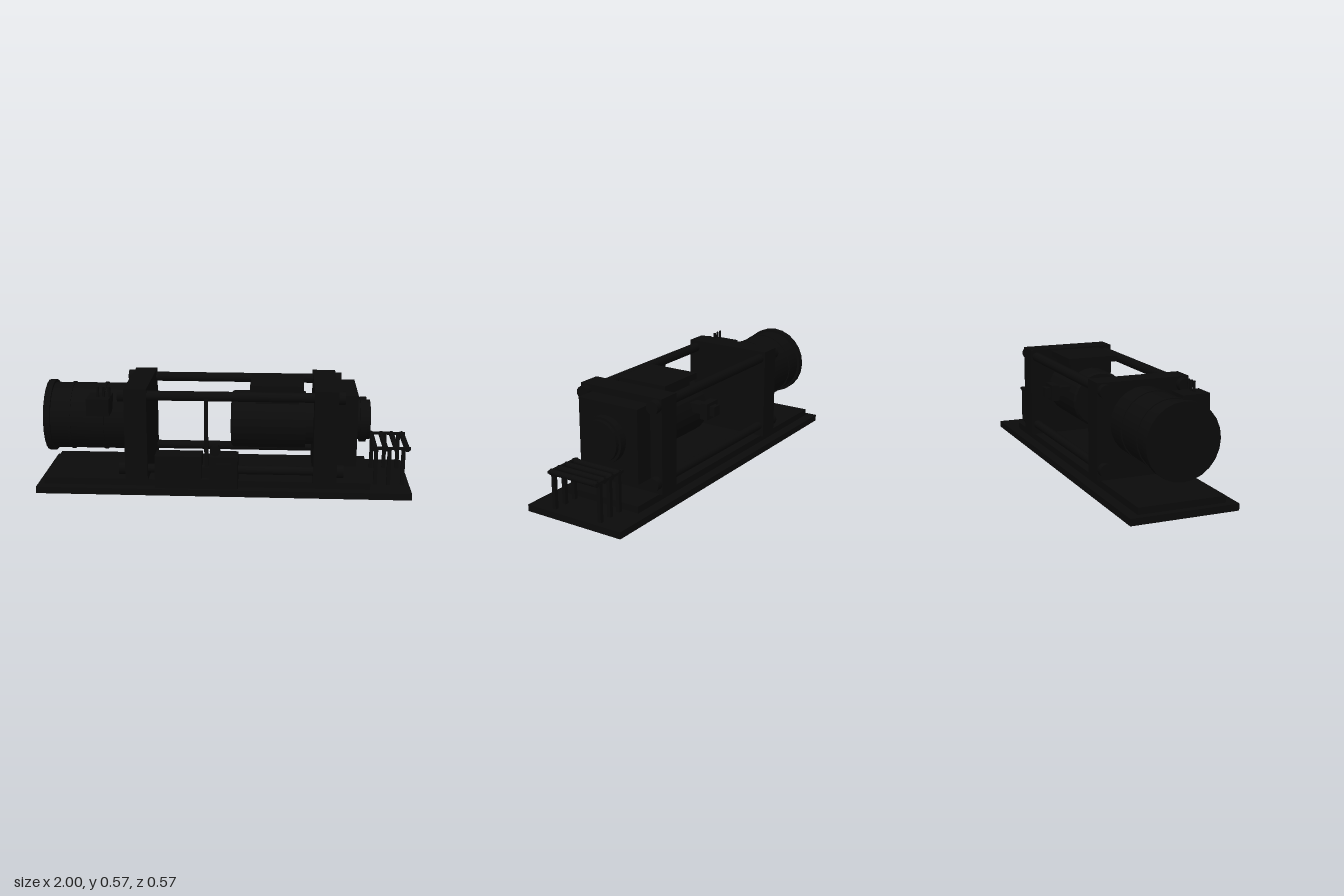
import * as THREE from 'three';

export function createModel() {
  const model = new THREE.Group();
  model.name = 'horizontalPress';
  const black = new THREE.MeshStandardMaterial({ color: 0x0b0b0b });
  black.name = 'black paint';

  const add = (name, geometry) => {
    const mesh = new THREE.Mesh(geometry, black);
    mesh.name = name;
    model.add(mesh);
    return mesh;
  };
  // box given by its min and max on each axis
  const box = (name, x0, x1, y0, y1, z0, z1) =>
    add(name, new THREE.BoxGeometry(x1 - x0, y1 - y0, z1 - z0))
      .position.set((x0 + x1) / 2, (y0 + y1) / 2, (z0 + z1) / 2);
  // cylinder along an axis, from a to b, centred on the two other coordinates
  const rodX = (name, a, b, y, z, r, sides = 16) => {
    const g = new THREE.CylinderGeometry(r, r, b - a, sides).rotateZ(-Math.PI / 2);
    add(name, g).position.set((a + b) / 2, y, z);
  };
  const rodZ = (name, a, b, x, y, r, sides = 12) => {
    const g = new THREE.CylinderGeometry(r, r, b - a, sides).rotateX(Math.PI / 2);
    add(name, g).position.set(x, y, (a + b) / 2);
  };
  const rodY = (name, a, b, x, z, r, sides = 10) =>
    add(name, new THREE.CylinderGeometry(r, r, b - a, sides)).position.set(x, (a + b) / 2, z);

  // floor plate and bed
  box('floorPlate', -1, 1, 0, 0.036, -0.286, 0.286);
  box('bed', -0.965, 0.785, 0.036, 0.072, -0.232, 0.232);

  // end platens
  box('rearPlaten', -0.52, -0.4, 0.07, 0.573, -0.25, 0.25);
  box('frontPlaten', 0.48, 0.605, 0.07, 0.573, -0.25, 0.25);

  // tie rods with nuts at both ends
  for (const z of [-0.215, 0.215]) {
    for (const [y, r] of [[0.13, 0.024], [0.532, 0.026]]) {
      rodX('tieRod', -0.54, 0.62, y, z, r);
      rodX('rearNut', -0.555, -0.51, y, z, 0.035);
      rodX('frontNut', 0.6, 0.64, y, z, 0.035);
    }
  }

  // main cylinder with end flange and bands
  const cy = 0.36;
  rodX('mainCylinder', -0.95, -0.5, cy, 0, 0.18, 24);
  rodX('cylinderFlange', -0.965, -0.93, cy, 0, 0.195, 24);
  for (const x of [-0.83, -0.65]) rodX('cylinderBand', x - 0.008, x + 0.008, cy, 0, 0.185, 24);

  // valve box on the main cylinder with three pipes
  box('valveBox', -0.715, -0.595, 0.43, 0.52, 0.12, 0.27);
  for (const x of [-0.66, -0.63, -0.6]) rodY('valvePipe', 0.5, 0.575, x, 0.21, 0.007);

  // container with an open mouth
  const profile = [[0, 0.05], [0.125, 0.05], [0.125, 0], [0.145, 0], [0.155, 0.012], [0.155, 0.4],
    [0.135, 0.4], [0.135, 0.45], [0, 0.45]].map(([r, h]) => new THREE.Vector2(r, h));
  const shell = new THREE.LatheGeometry(profile.reverse(), 24).toNonIndexed();
  shell.computeVertexNormals();
  // axis turned to +x
  shell.rotateZ(-Math.PI / 2);
  const container = add('container', shell);
  container.position.set(0.038, 0.353, 0);
  black.side = THREE.DoubleSide;
  box('containerSaddle', 0.17, 0.4, 0.47, 0.545, -0.12, 0.12);
  box('containerCover', 0.14, 0.425, 0.54, 0.573, -0.145, 0.145);

  // drive unit on the back of the container
  box('driveArm', 0.13, 0.19, 0.37, 0.42, -0.25, -0.1);
  box('drivePlate', 0.11, 0.21, 0.35, 0.437, -0.257, -0.215);
  box('driveMotor', 0.135, 0.185, 0.368, 0.42, -0.286, -0.255);

  // die head and outlet rings
  box('dieHead', 0.6, 0.71, 0.148, 0.537, -0.18, 0.18);
  rodX('outletNeck', 0.7, 0.735, cy, 0, 0.11, 24);
  rodX('outletRing', 0.73, 0.765, cy, 0, 0.122, 24);
  rodX('outletLip', 0.76, 0.785, cy, 0, 0.108, 24);

  // control cabinets along the front side
  box('longCabinet', -0.36, -0.11, 0.07, 0.215, 0.16, 0.27);
  box('cabinetLink', -0.115, -0.065, 0.07, 0.15, 0.17, 0.25);
  box('shortCabinet', -0.07, 0.082, 0.07, 0.215, 0.16, 0.27);
  box('cabinetFoot', -0.36, 0.082, 0.036, 0.09, 0.2, 0.27);
  box('cabinetPanel', -0.03, 0.045, 0.105, 0.182, 0.265, 0.286);

  // strut up to the tie rod and handwheel
  box('strut', -0.097, -0.077, 0.07, 0.52, 0.22, 0.242);
  box('wheelBracket', -0.05, -0.025, 0.21, 0.262, 0.2, 0.245);
  rodZ('wheelAxle', 0.22, 0.275, -0.037, 0.252, 0.008);
  rodZ('handwheel', 0.27, 0.283, -0.037, 0.252, 0.028, 16);

  // runout table with rails, legs and rollers
  for (const z of [-0.14, 0.14]) {
    box('tableRail', 0.785, 1, 0.233, 0.246, z - 0.008, z + 0.008);
    for (const x of [0.817, 0.888, 0.962]) box('tableLeg', x - 0.01, x + 0.01, 0.03, 0.238, z - 0.01, z + 0.01);
  }
  for (const x of [0.81, 0.867, 0.924, 0.981]) rodZ('tableRoller', -0.145, 0.145, x, 0.237, 0.015);

  return model;
}
